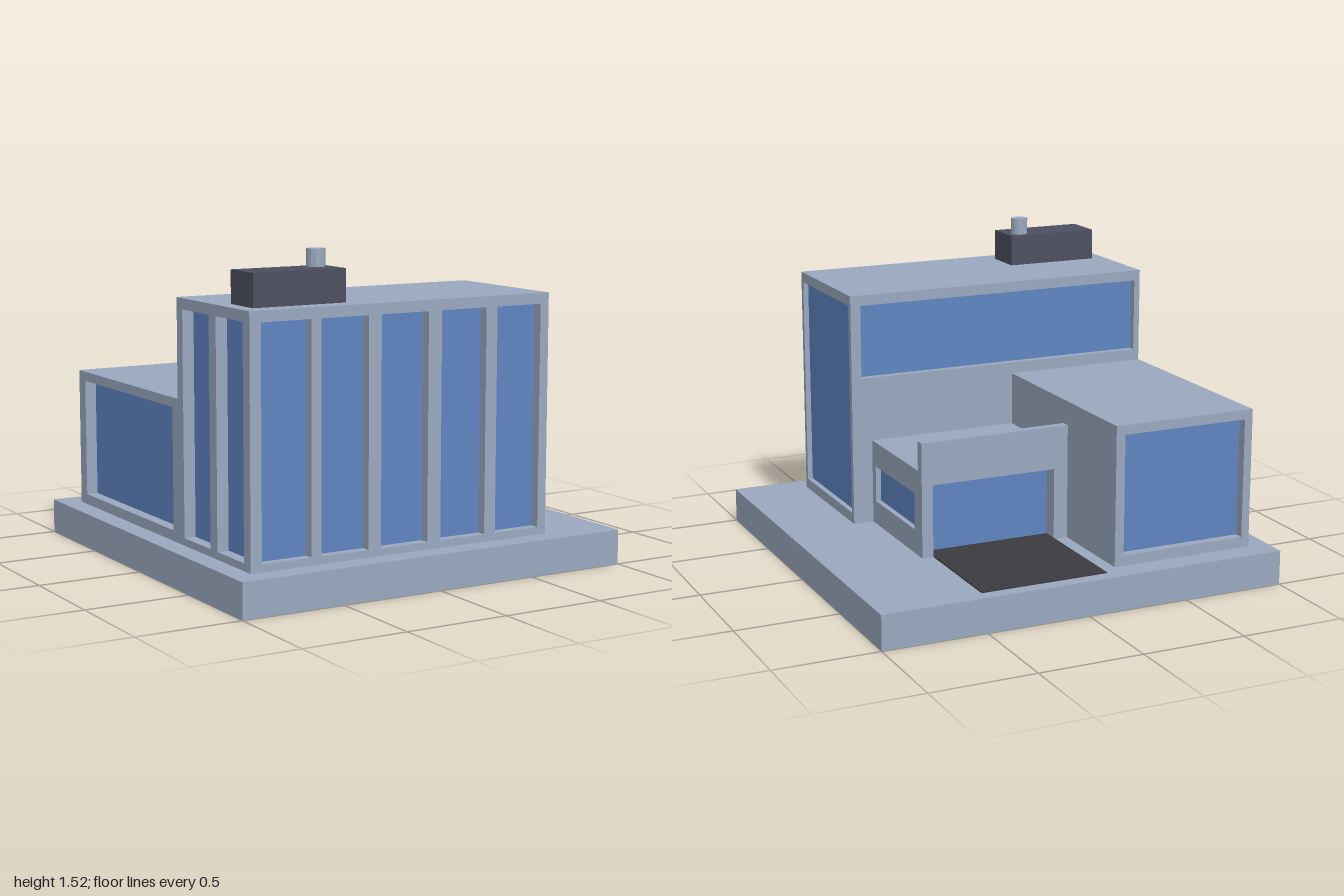
import * as THREE from 'three';

const mat = (name, color) => {
  const m = new THREE.MeshStandardMaterial({ color });
  m.name = name;
  return m;
};

export function createModel() {
  const concrete = mat('concrete', 0x9aa8be);
  const glass = mat('blueGlass', 0x5f85c2);
  const slate = mat('slate', 0x4c4f5e);
  const asphalt = mat('asphalt', 0x3c3a40);
  const model = new THREE.Group();
  model.name = 'modernHouse';
  const GROUND = 0.165;

  // Box given by its extents on each axis
  const block = (name, material, [x0, x1], [y0, y1], [z0, z1], parent = model) => {
    const mesh = new THREE.Mesh(new THREE.BoxGeometry(x1 - x0, y1 - y0, z1 - z0), material);
    mesh.position.set((x0 + x1) / 2, (y0 + y1) / 2, (z0 + z1) / 2);
    mesh.name = name;
    parent.add(mesh);
    return mesh;
  };

  const rect = (Type, u0, u1, y0, y1) => {
    const p = new Type();
    p.moveTo(u0, y0);
    p.lineTo(u1, y0);
    p.lineTo(u1, y1);
    p.lineTo(u0, y1);
    p.closePath();
    return p;
  };

  // Wall facing one side, at a distance from the centre line; openings hold recessed glass.
  // Spans are world x (front, back) or world z (left, right).
  const turns = { front: [0, 1], posX: [Math.PI / 2, -1], back: [Math.PI, -1], negX: [-Math.PI / 2, 1] };
  const wall = (name, side, dist, depth, span, [y0, y1], openings = []) => {
    const [angle, sign] = turns[side];
    const local = (s) => s.map((v) => v * sign).sort((a, b) => a - b);
    const group = new THREE.Group();
    group.name = name;
    group.rotation.y = angle;
    const shape = rect(THREE.Shape, ...local(span), y0, y1);
    for (const [a, b, lo, hi] of openings) {
      const [u0, u1] = local([a, b]);
      shape.holes.push(rect(THREE.Path, u0, u1, lo, hi));
      block('windowPane', glass, [u0, u1], [lo, hi], [dist - depth - 0.004, dist - depth + 0.004], group);
    }
    const mesh = new THREE.Mesh(new THREE.ExtrudeGeometry(shape, { depth, bevelEnabled: false }), concrete);
    mesh.position.z = dist - depth;
    mesh.name = 'wallPanel';
    group.add(mesh);
    model.add(group);
  };

  // Plinth and driveway
  block('plinth', concrete, [-1, 1], [0, GROUND], [-1, 1]);
  block('driveway', asphalt, [-0.12, 0.5], [GROUND, 0.171], [-0.935, -0.322]);

  // Tall front block
  const tall = [GROUND, 1.26];
  const bays = [[-0.845, -0.6], [-0.55, -0.31], [-0.245, 0], [0.07, 0.31], [0.37, 0.61]];
  wall('frontWall', 'front', 0.89, 0.05, [-0.9, 0.625], tall, bays.map(([a, b]) => [a, b, 0.2, 1.24]));
  wall('tallSideWall', 'posX', 0.655, 0.03, [0.21, 0.89], tall, [[0.24, 0.865, 0.215, 1.24]]);
  wall('tallBackWall', 'back', -0.21, 0.04, [-0.9, 0.625], tall, [[-0.87, 0.605, 0.885, 1.24]]);
  wall('tallOuterWall', 'negX', 0.9, 0.06, [0.25, 0.84], tall,
    [[0.265, 0.52, 0.2, 1.24], [0.585, 0.83, 0.2, 1.24]]);
  block('tallRoof', concrete, [-0.9, 0.655], [1.26, 1.29], [0.21, 0.89]);

  // Middle-height rear wing
  const mid = [GROUND, 0.8];
  wall('wingBackWall', 'back', 0.88, 0.05, [-0.9, -0.19], mid, [[-0.86, -0.235, 0.215, 0.785]]);
  wall('wingOuterWall', 'negX', 0.9, 0.06, [-0.83, 0.21], mid, [[-0.81, 0.155, 0.215, 0.785]]);
  wall('wingInnerWall', 'posX', -0.19, 0.03, [-0.83, 0.21], mid);
  block('wingRoof', concrete, [-0.9, -0.19], [0.8, 0.83], [-0.88, 0.21]);

  // Low garage with parapet
  const low = [GROUND, 0.545];
  wall('garageDoorWall', 'back', 0.4, 0.08, [-0.19, 0.555], low, [[-0.12, 0.5, 0.167, 0.51]]);
  wall('garageSideWall', 'posX', 0.555, 0.03, [-0.32, 0.21], low, [[-0.31, 0.17, 0.28, 0.455]]);
  block('garageRoof', concrete, [-0.19, 0.555], [0.545, 0.575], [-0.4, 0.21]);
  block('parapet', concrete, [-0.19, 0.555], [0.575, 0.715], [-0.4, -0.355]);

  // Rooftop unit and vent
  block('roofUnit', slate, [-0.83, -0.37], [1.29, 1.44], [0.595, 0.795]);
  const vent = new THREE.Mesh(new THREE.CylinderGeometry(0.042, 0.042, 0.08, 12), concrete.clone());
  vent.material = concrete;
  vent.geometry = vent.geometry.toNonIndexed();
  vent.geometry.computeVertexNormals();
  vent.position.set(-0.44, 1.48, 0.655);
  vent.name = 'roofVent';
  model.add(vent);

  return model;
}
